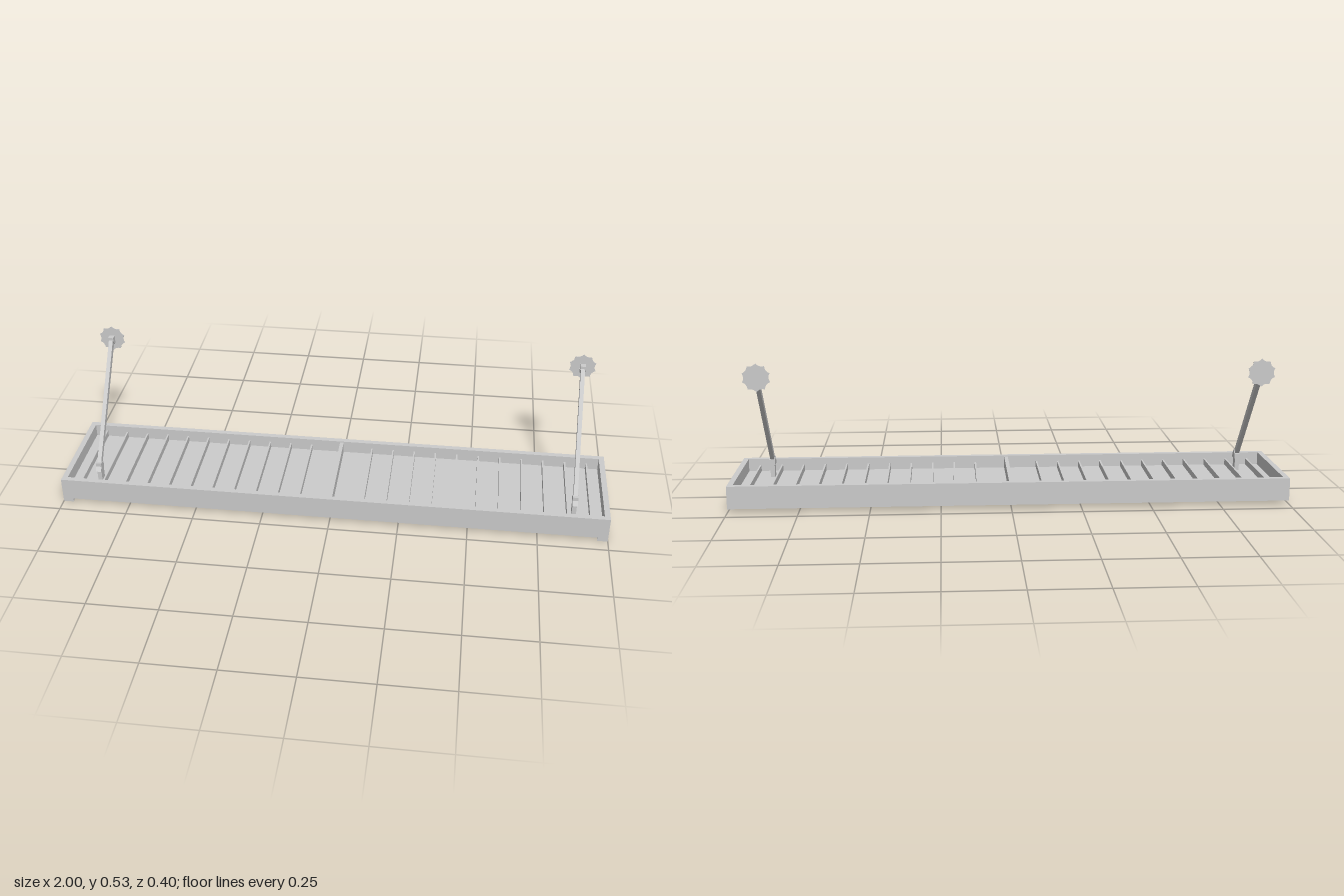
import * as THREE from 'three';

const grey = new THREE.MeshStandardMaterial({ color: 0xcccccc, flatShading: true });

function add(parent, name, geometry, x = 0, y = 0, z = 0) {
  const mesh = new THREE.Mesh(geometry, grey);
  mesh.name = name;
  mesh.position.set(x, y, z);
  parent.add(mesh);
  return mesh;
}

// rectangular ring lying flat, outer size 2 x 0.4
function ring(inset, height) {
  const rect = (w, d) => [[-w, -d], [w, -d], [w, d], [-w, d]].map(p => new THREE.Vector2(...p));
  const shape = new THREE.Shape(rect(1, 0.2));
  shape.holes.push(new THREE.Path(rect(1 - inset, 0.2 - inset)));
  return new THREE.ExtrudeGeometry(shape, { depth: height, bevelEnabled: false }).rotateX(-Math.PI / 2);
}

// side profile given as [z, y] points, extruded along x and centred
function sideProfile(points, width) {
  const shape = new THREE.Shape(points.map(([z, y]) => new THREE.Vector2(-z, y)));
  return new THREE.ExtrudeGeometry(shape, { depth: width, bevelEnabled: false })
    .translate(0, 0, -width / 2).rotateY(Math.PI / 2);
}

// wall plate with scalloped edge
function rosette() {
  const shape = new THREE.Shape();
  const n = 10, at = (i, r) => {
    const a = Math.PI / 2 + i * 2 * Math.PI / n;
    return [r * Math.cos(a), r * Math.sin(a)];
  };
  shape.moveTo(...at(0, 0.05));
  for (let i = 0; i < n; i++) shape.quadraticCurveTo(...at(i + 0.5, 0.038), ...at(i + 1, 0.05));
  return new THREE.ExtrudeGeometry(shape, { depth: 0.0015, bevelEnabled: false, curveSegments: 4 });
}

export function createModel() {
  const model = new THREE.Group();
  model.name = 'canopy';

  // frame: thin fascia above a wider bottom flange
  add(model, 'fascia', ring(0.02, 0.053), 0, 0.046, 0);
  add(model, 'bottomFlange', ring(0.045, 0.029), 0, 0.017, 0);

  // deck and cross ribs
  add(model, 'deck', new THREE.BoxGeometry(1.96, 0.006, 0.36), 0, 0.049, 0);
  add(model, 'centreRib', new THREE.BoxGeometry(0.014, 0.05, 0.36), 0, 0.07, 0);
  for (const side of [-1, 1]) {
    for (let i = 0; i < 11; i++) {
      add(model, 'rib', new THREE.BoxGeometry(0.006, 0.031, 0.36), side * (0.118 + i * 0.0818), 0.06, 0);
    }

    // drip spout under each front corner
    add(model, 'spout', sideProfile([[0.2, 0.003], [0.2, 0.018], [0.16, 0.018]], 0.038), side * 0.981);

    // hanger arm with its brackets and wall plate
    const arm = new THREE.Group();
    arm.name = 'hanger';
    arm.position.x = side * 0.878;
    model.add(arm);
    add(arm, 'footBracket', sideProfile(
      [[0.132, 0.098], [0.12, 0.113], [0.12, 0.127], [0.108, 0.127], [0.091, 0.118], [0.091, 0.098]], 0.02));
    add(arm, 'footPost', new THREE.BoxGeometry(0.016, 0.055, 0.03), 0, 0.075, 0.105);
    add(arm, 'rod', sideProfile(
      [[0.109, 0.127], [0.091, 0.12], [-0.188, 0.467], [-0.177, 0.487]], 0.015));
    add(arm, 'wallBracket', sideProfile(
      [[-0.177, 0.497], [-0.177, 0.483], [-0.188, 0.467], [-0.199, 0.467], [-0.199, 0.497]], 0.02));
    add(arm, 'pin', new THREE.CylinderGeometry(0.002, 0.002, 0.023, 8).rotateZ(Math.PI / 2), 0, 0.482, -0.189);
    add(arm, 'wallPlate', rosette(), 0, 0.485, -0.2);
  }
  return model;
}
